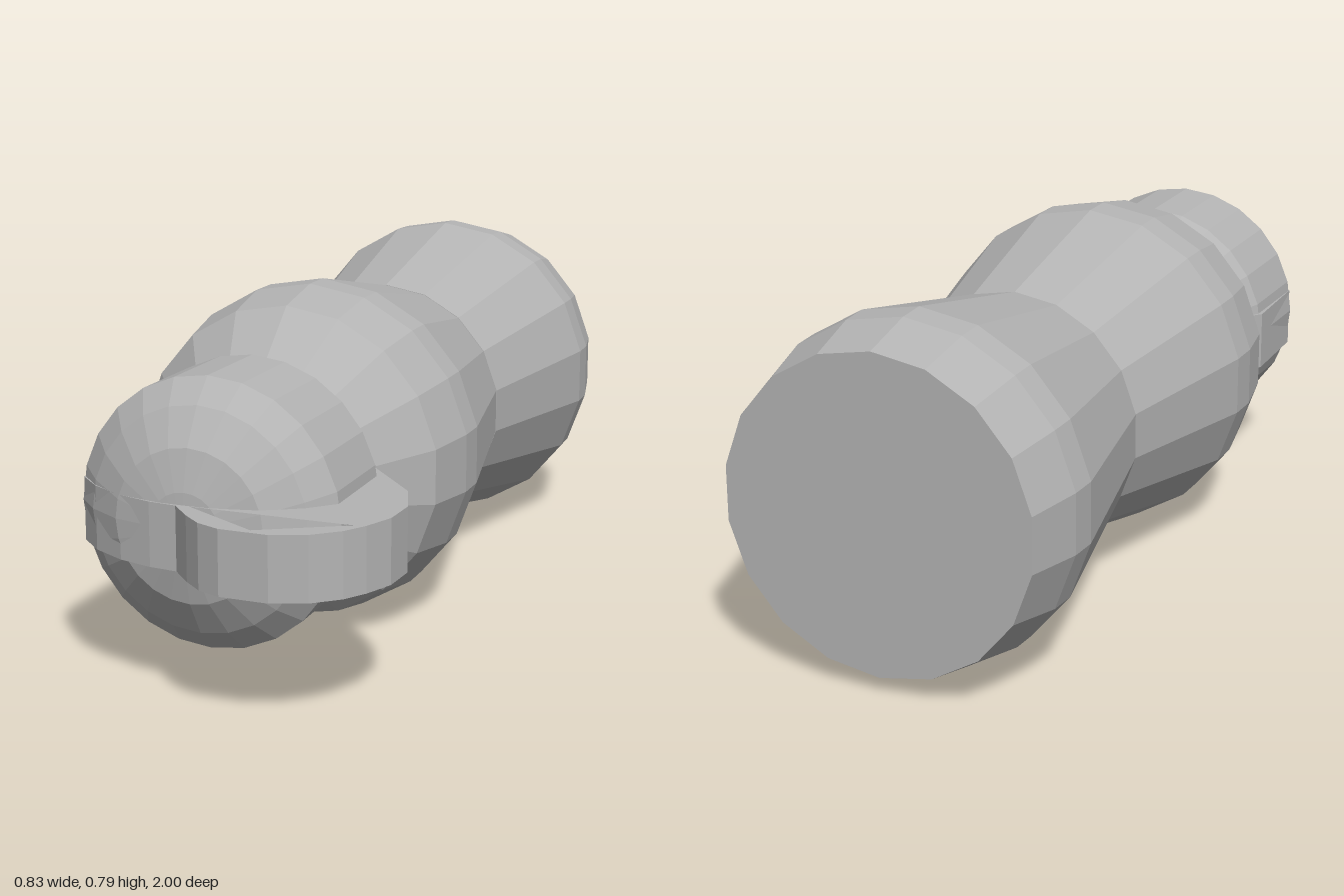
import * as THREE from 'three';

const grey = new THREE.MeshStandardMaterial({ color: 0xb4b4b4, flatShading: true });
grey.name = 'plain grey';

// Solid of revolution lying along z; profile is [radius, z] from back to front
function turned(name, profile, sides, x, y) {
  const points = profile.map(([r, z]) => new THREE.Vector2(r, z));
  const geometry = new THREE.LatheGeometry(points, sides);
  geometry.rotateX(Math.PI / 2);
  const mesh = new THREE.Mesh(geometry, grey);
  mesh.name = name;
  mesh.position.set(x, y, 0);
  return mesh;
}

export function createModel() {
  const group = new THREE.Group();
  group.name = 'bottle';

  // Two bulging halves meeting at the waist
  group.add(turned('rearBody', [
    [0, -1], [0.357, -1], [0.39, -0.86], [0.393, -0.79], [0.302, -0.335], [0, -0.335],
  ], 18, -0.025, 0.398));
  group.add(turned('frontBody', [
    [0, -0.34], [0.3, -0.34], [0.392, 0.09], [0.393, 0.17], [0.367, 0.31], [0.255, 0.44], [0, 0.44],
  ], 18, -0.025, 0.398));

  // Domed cap
  group.add(turned('cap', [
    [0, 0.43], [0.25, 0.44], [0.299, 0.515], [0.302, 0.745],
    [0.25, 0.8], [0.17, 0.85], [0.08, 0.872], [0, 0.877],
  ], 24, -0.02, 0.395));

  // Flat strap through the cap, bulging into a carry loop; outline in x and z
  const outline = [
    [-0.26, 0.44], [-0.322, 0.515], [-0.316, 0.75], [-0.26, 0.805], [-0.18, 0.85], [-0.1, 0.873],
    [-0.035, 0.88], [0.015, 0.935], [0.06, 0.975], [0.115, 0.998], [0.225, 1], [0.3, 0.97],
    [0.355, 0.92], [0.385, 0.87], [0.412, 0.8], [0.415, 0.71], [0.375, 0.6], [0.235, 0.44],
  ].map(([x, z]) => new THREE.Vector2(x, z));
  const strap = new THREE.Shape(outline);
  strap.holes.push(new THREE.Path([
    new THREE.Vector2(-0.005, 0.876), new THREE.Vector2(0.18, 0.983), new THREE.Vector2(0.36, 0.876),
  ]));
  const strapGeometry = new THREE.ExtrudeGeometry(strap, { depth: 0.143, bevelEnabled: false });
  strapGeometry.rotateX(Math.PI / 2);
  const loop = new THREE.Mesh(strapGeometry, grey);
  loop.name = 'carryLoop';
  loop.position.y = 0.448;
  group.add(loop);

  return group;
}
